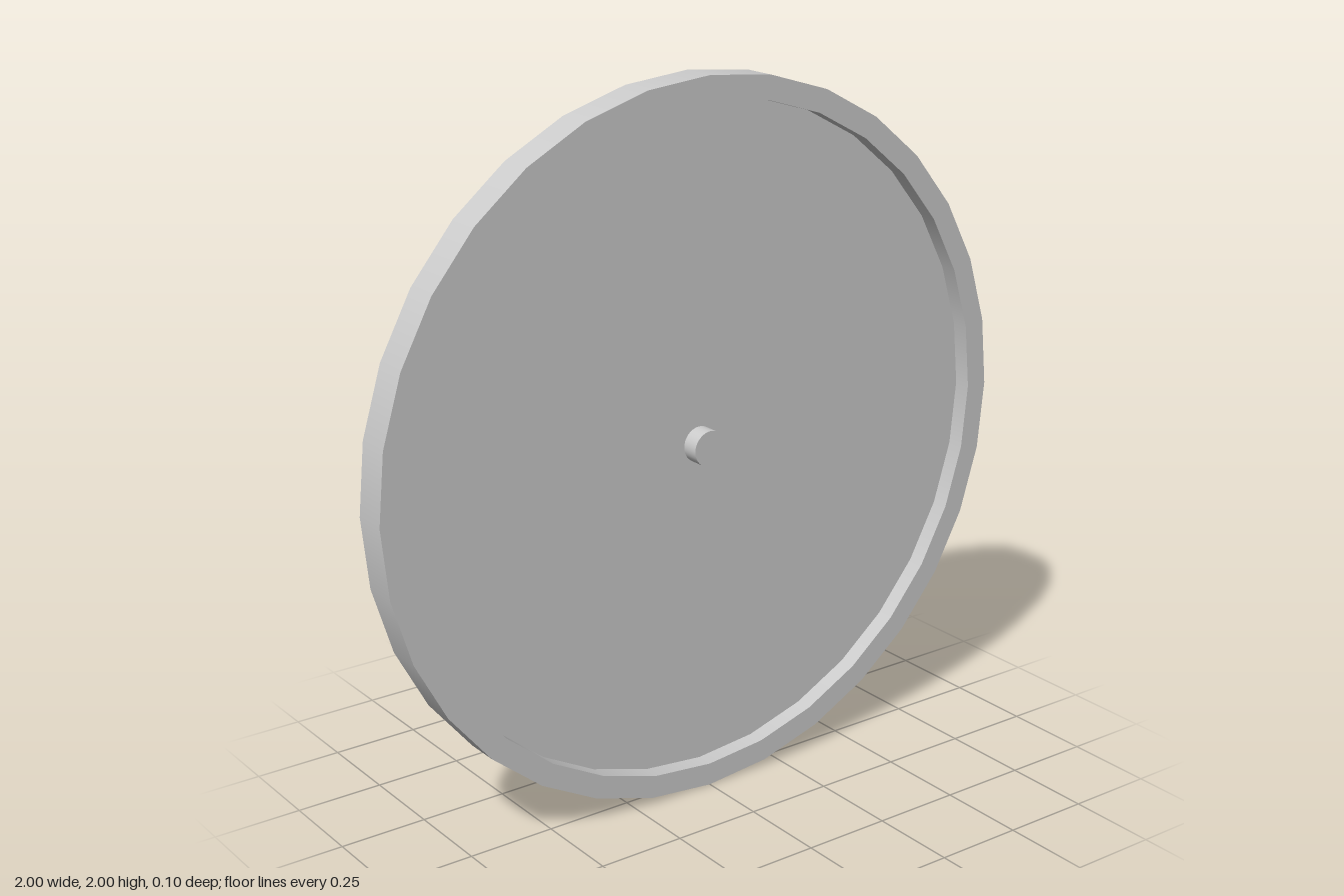
import * as THREE from 'three';

const SIDES = 32, R = 1, INNER = 0.935, HALF = 0.05;

export function createModel() {
  const model = new THREE.Group();
  const material = new THREE.MeshStandardMaterial({ color: 0xcccccc, side: THREE.DoubleSide });

  const add = (name, geometry, z, parent = model) => {
    const mesh = new THREE.Mesh(geometry, material);
    mesh.name = name;
    mesh.position.z = z;
    parent.add(mesh);
  };
  // Open tube whose axis runs along z
  const tube = (radius, depth) =>
    new THREE.CylinderGeometry(radius, radius, depth, SIDES, 1, true).rotateX(Math.PI / 2);

  // Rim: outer wall, front face and inner lip, left open at the back
  const rim = new THREE.Group();
  rim.name = 'rim';
  add('outerWall', tube(R, HALF * 2), 0, rim);
  add('frontRing', new THREE.RingGeometry(INNER, R, SIDES), HALF, rim);
  add('innerLip', tube(INNER, HALF), HALF / 2, rim);
  model.add(rim);

  // Recessed disc at mid depth
  add('disc', new THREE.CircleGeometry(INNER, SIDES), 0);

  // Centre pin, flush with the front of the rim
  const pin = new THREE.Group();
  pin.name = 'centrePin';
  add('pinWall', tube(0.05, HALF), HALF / 2, pin);
  add('pinCap', new THREE.CircleGeometry(0.05, SIDES), HALF, pin);
  model.add(pin);

  model.position.y = R;
  const root = new THREE.Group();
  root.name = 'wheel';
  root.add(model);
  model.name = 'wheelParts';
  return root;
}
